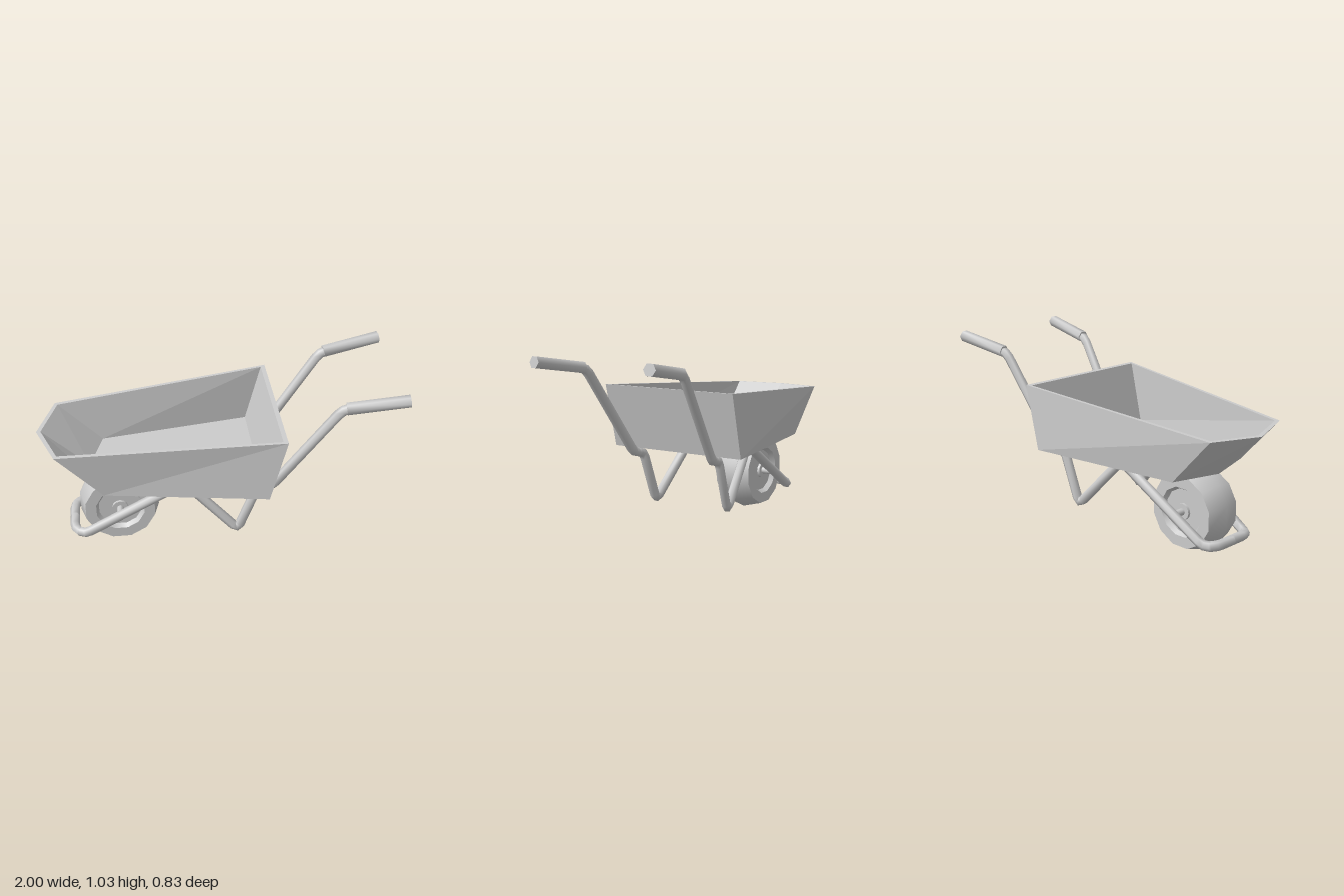
import * as THREE from 'three';

const V = (x, y, z) => new THREE.Vector3(x, y, z);
const mat = new THREE.MeshStandardMaterial({ color: 0xcccccc });
const flatMat = new THREE.MeshStandardMaterial({ color: 0xcccccc, flatShading: true });

function add(parent, name, geometry, material = mat) {
  const mesh = new THREE.Mesh(geometry, material);
  mesh.name = name;
  parent.add(mesh);
  return mesh;
}

// Replace each inner corner of a polyline with a short three-point bend
function roundCorners(pts, d) {
  const out = [pts[0]];
  for (let i = 1; i < pts.length - 1; i++) {
    const p = pts[i];
    const toward = (q) => p.clone().add(q.clone().sub(p).setLength(Math.min(d, p.distanceTo(q) * 0.45)));
    const a = toward(pts[i - 1]), b = toward(pts[i + 1]);
    out.push(a, a.clone().add(b).multiplyScalar(0.25).addScaledVector(p, 0.5), b);
  }
  out.push(pts[pts.length - 1]);
  return out;
}

// Six-sided bar swept along points, its corners kept pointing sideways, with flat ends
function sweep(pts, r, sides = 6) {
  const pos = [], idx = [], n = pts.length;
  let u = V(0, 0, 1);
  const ring = (i) => {
    const t = V(0, 0, 0);
    if (i > 0) t.add(pts[i].clone().sub(pts[i - 1]).normalize());
    if (i < n - 1) t.add(pts[i + 1].clone().sub(pts[i]).normalize());
    t.normalize();
    u = u.clone().addScaledVector(t, -u.dot(t)).normalize();
    const v = t.clone().cross(u);
    for (let k = 0; k < sides; k++) {
      const a = (k / sides) * Math.PI * 2;
      const p = pts[i].clone().addScaledVector(u, r * Math.cos(a)).addScaledVector(v, r * Math.sin(a));
      pos.push(p.x, p.y, p.z);
    }
  };
  for (let i = 0; i < n; i++) ring(i);
  for (let i = 0; i < n - 1; i++) {
    for (let k = 0; k < sides; k++) {
      const a = i * sides + k, b = i * sides + ((k + 1) % sides);
      idx.push(a, b, b + sides, a, b + sides, a + sides);
    }
  }
  // end caps use their own vertices so that the edge stays sharp
  const first = pos.slice(0, sides * 3), last = pos.slice(-sides * 3);
  const c0 = n * sides, c1 = c0 + sides;
  pos.push(...first, ...last);
  for (let k = 1; k < sides - 1; k++) idx.push(c0, c0 + k + 1, c0 + k, c1, c1 + k, c1 + k + 1);
  const g = new THREE.BufferGeometry();
  g.setAttribute('position', new THREE.Float32BufferAttribute(pos, 3));
  g.setIndex(idx);
  g.computeVertexNormals();
  return g;
}

// Five-cornered loop: pointed nose, two front corners, two rear corners
function trayLoop(nose, frontX, frontZ, rearX, rearZ, height) {
  return [[nose, 0], [frontX, frontZ], [rearX, rearZ], [rearX, -rearZ], [frontX, -frontZ]]
    .map(([x, z]) => V(x, height(x), z));
}

function trayGeometry() {
  const rimY = (x) => 0.722 + (x + 1) * 0.0746;
  const loops = [
    trayLoop(-0.73, -0.65, 0.275, 0.25, 0.415, () => 0.46),
    trayLoop(-1, -0.9, 0.28, 0.34, 0.415, rimY),
    trayLoop(-0.975, -0.885, 0.258, 0.315, 0.395, rimY),
    trayLoop(-0.72, -0.64, 0.252, 0.225, 0.385, () => 0.48),
  ];
  const pos = [];
  const tri = (...ps) => ps.forEach((p) => pos.push(p.x, p.y, p.z));
  for (let l = 0; l < 3; l++) {
    for (let i = 0; i < 5; i++) {
      const j = (i + 1) % 5, lo = loops[l], hi = loops[l + 1];
      tri(lo[i], lo[j], hi[j]);
      tri(lo[i], hi[j], hi[i]);
    }
  }
  for (let i = 1; i < 4; i++) {
    tri(loops[0][0], loops[0][i + 1], loops[0][i]); // underside
    tri(loops[3][0], loops[3][i], loops[3][i + 1]); // floor
  }
  const g = new THREE.BufferGeometry();
  g.setAttribute('position', new THREE.Float32BufferAttribute(pos, 3));
  g.computeVertexNormals();
  return g;
}

function createWheel() {
  const wheel = new THREE.Group();
  wheel.name = 'wheel';
  const lathe = (name, profile) => {
    const g = new THREE.LatheGeometry(profile.map(([r, y]) => new THREE.Vector2(r, y)), 12);
    g.rotateY(Math.PI / 12).rotateX(Math.PI / 2);
    add(wheel, name, g);
  };
  // crowned tread, then flat wall, bevel and recessed disc on each side
  lathe('tread', [[0.205, -0.112], [0.235, 0], [0.205, 0.112]]);
  const side = [
    ['tyreWall', [[0.205, 0.112], [0.142, 0.112]]],
    ['rimBevel', [[0.142, 0.112], [0.126, 0.085]]],
    ['rimDisc', [[0.126, 0.085], [0, 0.085]]],
  ];
  for (const [name, profile] of side) {
    lathe(name, profile);
    lathe(name, profile.map(([r, y]) => [r, -y]).reverse());
  }
  add(wheel, 'hub', new THREE.CylinderGeometry(0.046, 0.046, 0.2, 12).rotateX(Math.PI / 2));
  add(wheel, 'axle', new THREE.CylinderGeometry(0.02, 0.02, 0.31, 8).rotateX(Math.PI / 2));
  wheel.position.set(-0.565, 0.228, 0);
  return wheel;
}

export function createModel() {
  const model = new THREE.Group();
  model.name = 'wheelbarrow';
  add(model, 'tray', trayGeometry(), flatMat);
  model.add(createWheel());

  // each half of the frame runs from the grip down the leg to the middle of the front bar
  for (const s of [1, -1]) {
    const path = [
      V(0.74, 0.96, 0.322), V(0.645, 0.945, 0.31), V(0.285, 0.435, 0.26), V(0.21, 0.435, 0.252),
      V(0.1, 0.13, 0.242), V(-0.2, 0.452, 0.197), V(-0.775, 0.108, 0.162),
      V(-0.832, 0.115, 0.12), V(-0.832, 0.115, 0),
    ].map((p) => V(p.x, p.y, p.z * s));
    add(model, s > 0 ? 'frontFrameBar' : 'backFrameBar', sweep(roundCorners(path, 0.04), 0.028));
    const grip = [V(0.665, 0.949, 0.313 * s), V(0.995, 1.001, 0.355 * s)];
    add(model, s > 0 ? 'frontGrip' : 'backGrip', sweep(grip, 0.034));
  }
  return model;
}
